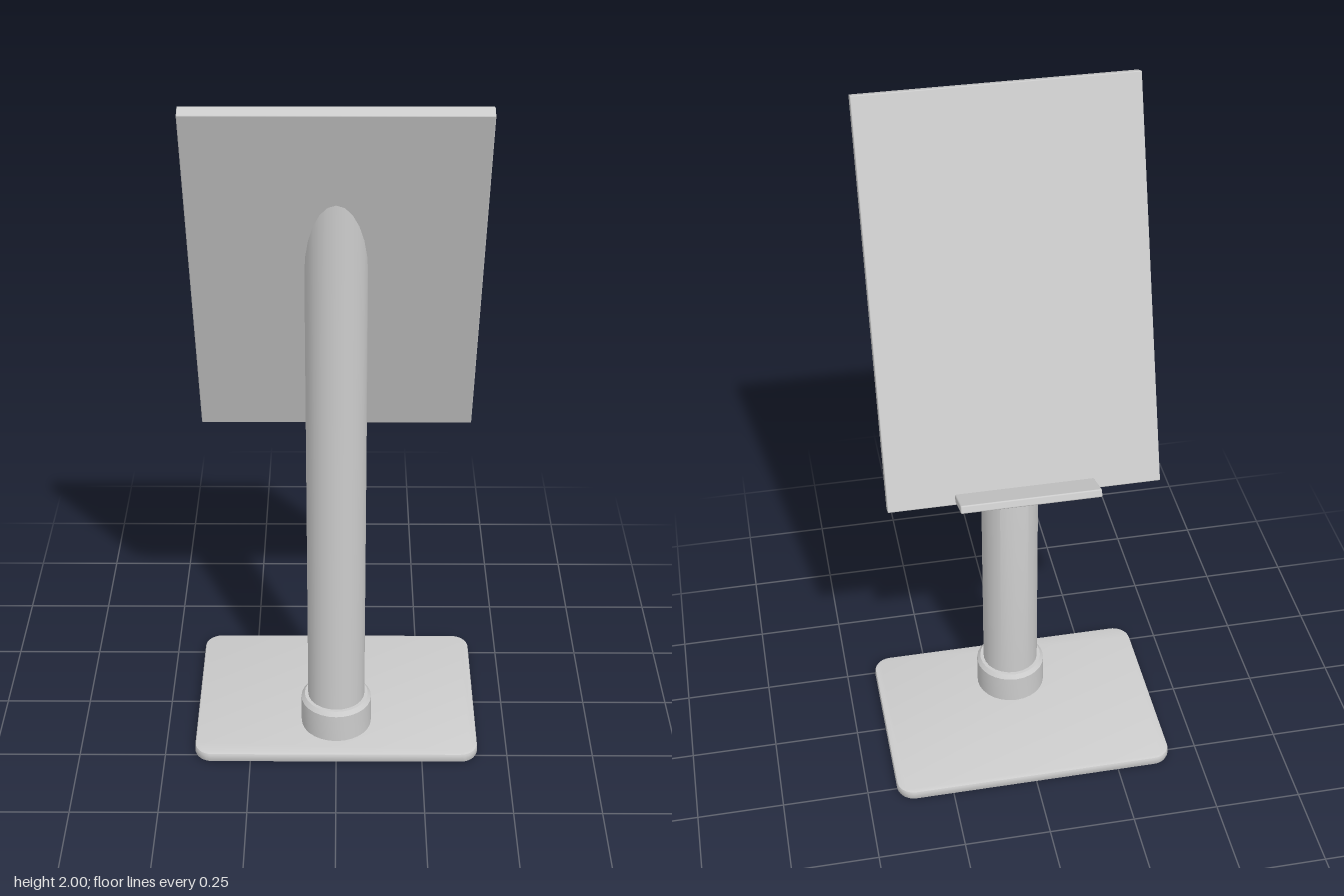
import * as THREE from 'three';
import { toCreasedNormals } from 'three/addons/utils/BufferGeometryUtils.js';
import { RoundedBoxGeometry } from 'three/addons/geometries/RoundedBoxGeometry.js';

const TILT = THREE.MathUtils.degToRad(20);
const PANEL = { w: 0.764, h: 1.125, t: 0.037, y: 1.465, z: 0.092 };
const COLUMN_Z = 0.12;

export function createModel() {
  const model = new THREE.Group();
  const material = new THREE.MeshStandardMaterial({ color: 0xcccccc });
  const add = (name, geometry, parent, x, y, z) => {
    const mesh = new THREE.Mesh(geometry, material);
    mesh.name = name;
    mesh.position.set(x, y, z);
    parent.add(mesh);
    return mesh;
  };

  // Base plate: rounded rectangle with softened edges
  const bevel = 0.007;
  const hw = 0.413 - bevel, hd = 0.293 - bevel, r = 0.045;
  const outline = new THREE.Shape();
  outline.absarc(hw - r, hd - r, r, 0, Math.PI / 2);
  outline.absarc(-hw + r, hd - r, r, Math.PI / 2, Math.PI);
  outline.absarc(-hw + r, -hd + r, r, Math.PI, Math.PI * 1.5);
  outline.absarc(hw - r, -hd + r, r, Math.PI * 1.5, Math.PI * 2);
  const plate = new THREE.ExtrudeGeometry(outline, {
    depth: 0.03 - 2 * bevel, bevelThickness: bevel, bevelSize: bevel, bevelSegments: 2, curveSegments: 5,
  }).rotateX(-Math.PI / 2);
  add('basePlate', toCreasedNormals(plate, 0.7), model, 0, bevel, -0.01);

  // Collar around the foot of the column
  const profile = [[0, 0.02], [0.103, 0.02], [0.103, 0.118], [0.093, 0.13], [0, 0.13]]
    .map(([x, y]) => new THREE.Vector2(x, y));
  add('collar', toCreasedNormals(new THREE.LatheGeometry(profile, 28), 0.6), model, 0, 0, COLUMN_Z);

  // Column, its top cut along the sloping underside of the panel
  const column = new THREE.CylinderGeometry(0.083, 0.083, 1, 24);
  const pos = column.attributes.position;
  const planeY = PANEL.y - (PANEL.t / 2) / Math.sin(TILT) + 0.02;
  for (let i = 0; i < pos.count; i++) {
    const z = pos.getZ(i) + COLUMN_Z;
    pos.setY(i, pos.getY(i) > 0 ? planeY + (z - PANEL.z) / Math.tan(TILT) : 0.1);
  }
  add('column', toCreasedNormals(column, 0.6), model, 0, 0, COLUMN_Z);

  // Tilted panel with a small ledge on its reading side
  const head = new THREE.Group();
  head.name = 'tiltedHead';
  head.position.set(0, PANEL.y, PANEL.z);
  head.rotation.x = TILT;
  model.add(head);
  add('panel', new RoundedBoxGeometry(PANEL.w, PANEL.h, PANEL.t, 2, 0.003), head, 0, 0, 0);
  add('ledge', new RoundedBoxGeometry(0.39, 0.023, 0.106, 2, 0.004), head, 0, -0.544, -0.067);

  return model;
}
